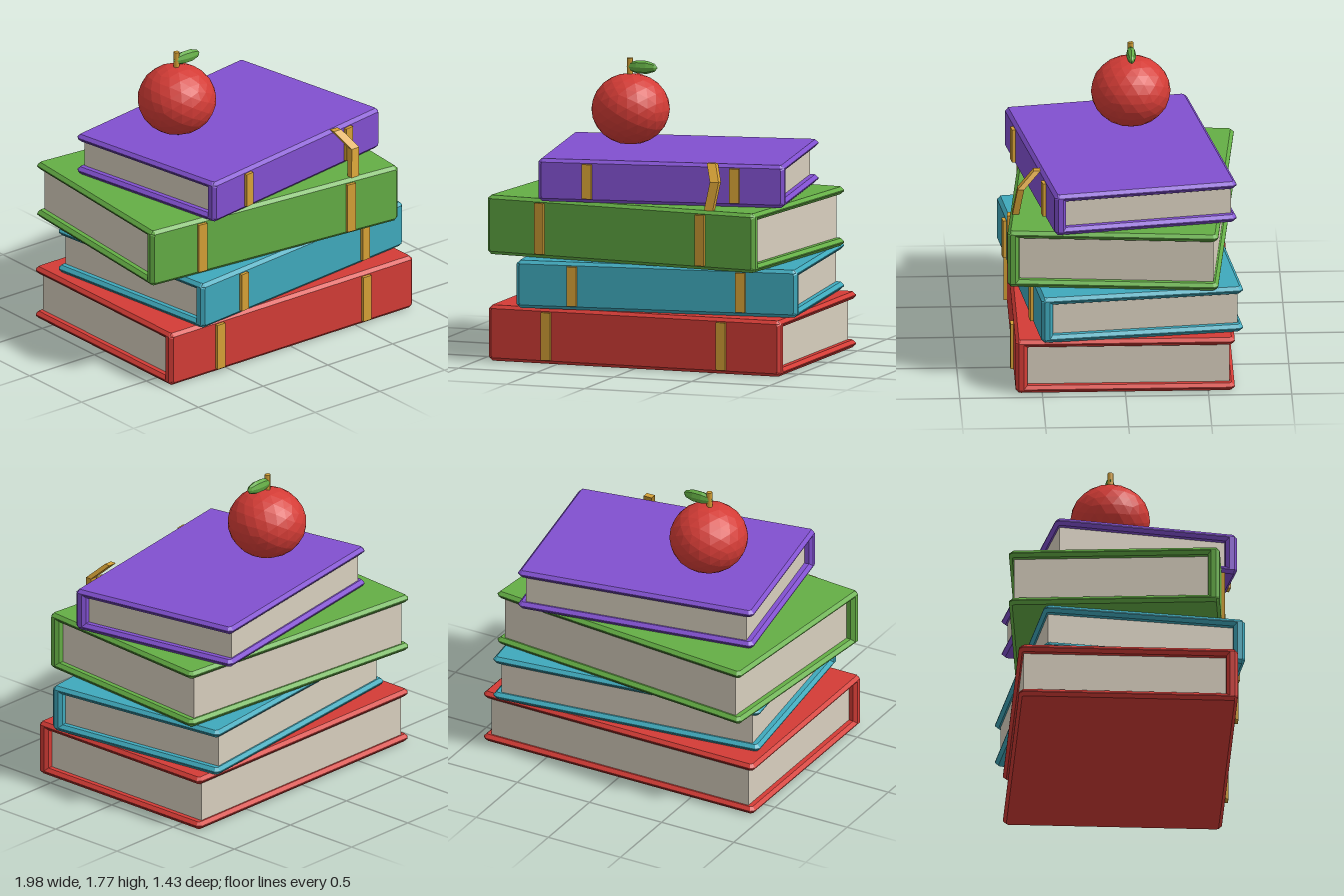
import * as THREE from 'three';

const makeMaterial = (name, color) => {
  const m = new THREE.MeshStandardMaterial({ color });
  m.name = name;
  return m;
};

function add(parent, name, geometry, material, x = 0, y = 0, z = 0) {
  const mesh = new THREE.Mesh(geometry, material);
  mesh.name = name;
  mesh.position.set(x, y, z);
  parent.add(mesh);
  return mesh;
}

// Plate in XY, thickness t along z, centred, with bevelled rims and cut corners
function bevelledSlab(w, h, t, bevel) {
  const a = w / 2 - bevel, b = h / 2 - bevel, c = 0.012;
  const outline = [[-a + c, -b], [a - c, -b], [a, -b + c], [a, b - c], [a - c, b], [-a + c, b], [-a, b - c], [-a, -b + c]];
  const shape = new THREE.Shape(outline.map(([x, y]) => new THREE.Vector2(x, y)));
  const g = new THREE.ExtrudeGeometry(shape, {
    depth: t - 2 * bevel, bevelEnabled: true, bevelSegments: 1, bevelSize: bevel, bevelThickness: bevel,
  });
  return g.translate(0, 0, -t / 2 + bevel);
}

// Closed book lying flat with its spine towards +z
function makeBook({ name, w, h, d, x, y, z, turn, cover }, pages, gold) {
  const book = new THREE.Group();
  book.name = name;
  book.position.set(x, y, z);
  book.rotation.y = turn;
  const t = 0.046, spine = 0.07;

  const board = bevelledSlab(w, d, t, 0.02).rotateX(-Math.PI / 2);
  add(book, 'bottomCover', board, cover, 0, t / 2, 0);
  add(book, 'topCover', board, cover, 0, h - t / 2, 0);
  add(book, 'spine', bevelledSlab(w, h, spine, 0.02), cover, 0, h / 2, d / 2 - spine / 2);

  // Page block stops short of the cover on the three open sides
  const pageDepth = d - 0.03 - spine / 2;
  add(book, 'pages', new THREE.BoxGeometry(w - 0.1, h - 1.6 * t, pageDepth), pages,
    0, h / 2, -d / 2 + 0.03 + pageDepth / 2);

  // Two raised bands on the spine
  for (const side of [-1, 1]) {
    add(book, 'spineBand', new THREE.BoxGeometry(0.06, h - 0.05, 0.04), gold, side * 0.3 * w, h / 2, d / 2);
  }
  return book;
}

export function createModel() {
  const model = new THREE.Group();
  model.name = 'bookStackWithApple';
  const red = makeMaterial('red', 0xd43c36);
  const blue = makeMaterial('blue', 0x3fa9bc);
  const green = makeMaterial('green', 0x64ae45);
  const purple = makeMaterial('purple', 0x8150d0);
  const gold = makeMaterial('gold', 0xd6a136);
  const pages = makeMaterial('paper', 0xd8cfbe);

  const books = [
    { name: 'redBook', w: 1.88, h: 0.34, d: 1.32, x: 0, y: 0, z: 0, turn: 0, cover: red },
    { name: 'blueBook', w: 1.74, h: 0.29, d: 1.23, x: 0.05, y: 0.34, z: 0, turn: 0.122, cover: blue },
    { name: 'greenBook', w: 1.79, h: 0.36, d: 1.27, x: -0.045, y: 0.63, z: -0.007, turn: -0.09, cover: green },
    { name: 'purpleBook', w: 1.51, h: 0.26, d: 1.12, x: 0.035, y: 0.99, z: -0.005, turn: 0.17, cover: purple },
  ];
  books.forEach((b) => model.add(makeBook(b, pages, gold)));

  // Bookmark ribbon folded over the top book: three rows moved along a bent path
  const path = [[0.48, 0.99, 0.645], [0.507, 1.16, 0.615], [0.45, 1.258, 0.515]];
  const ribbon = new THREE.BoxGeometry(0.056, 2, 0.04, 1, 2, 1);
  const p = ribbon.attributes.position;
  for (let i = 0; i < p.count; i++) {
    const [x, y, z] = path[Math.round(p.getY(i)) + 1];
    p.setXYZ(i, p.getX(i) + x, y, p.getZ(i) + z);
  }
  const flatRibbon = ribbon.toNonIndexed();
  flatRibbon.computeVertexNormals();
  add(model, 'bookmarkRibbon', flatRibbon, gold);

  // Faceted apple with stem and leaf
  const apple = new THREE.Group();
  apple.name = 'apple';
  apple.position.set(-0.3, 1.465, -0.077);
  model.add(apple);
  const flesh = new THREE.IcosahedronGeometry(0.24, 3).scale(0.985, 0.9, 1).toNonIndexed?.()
    ?? new THREE.IcosahedronGeometry(0.24, 3);
  flesh.computeVertexNormals();
  add(apple, 'appleFlesh', flesh, red);
  add(apple, 'stem', new THREE.CylinderGeometry(0.018, 0.018, 0.12, 6), gold, -0.005, 0.25, 0);
  const leaf = new THREE.SphereGeometry(1, 8, 5).rotateZ(Math.PI / 2).scale(0.1, 0.042, 0.03).toNonIndexed();
  leaf.computeVertexNormals();
  add(apple, 'leaf', leaf, green, 0.073, 0.257, 0);
  return model;
}
